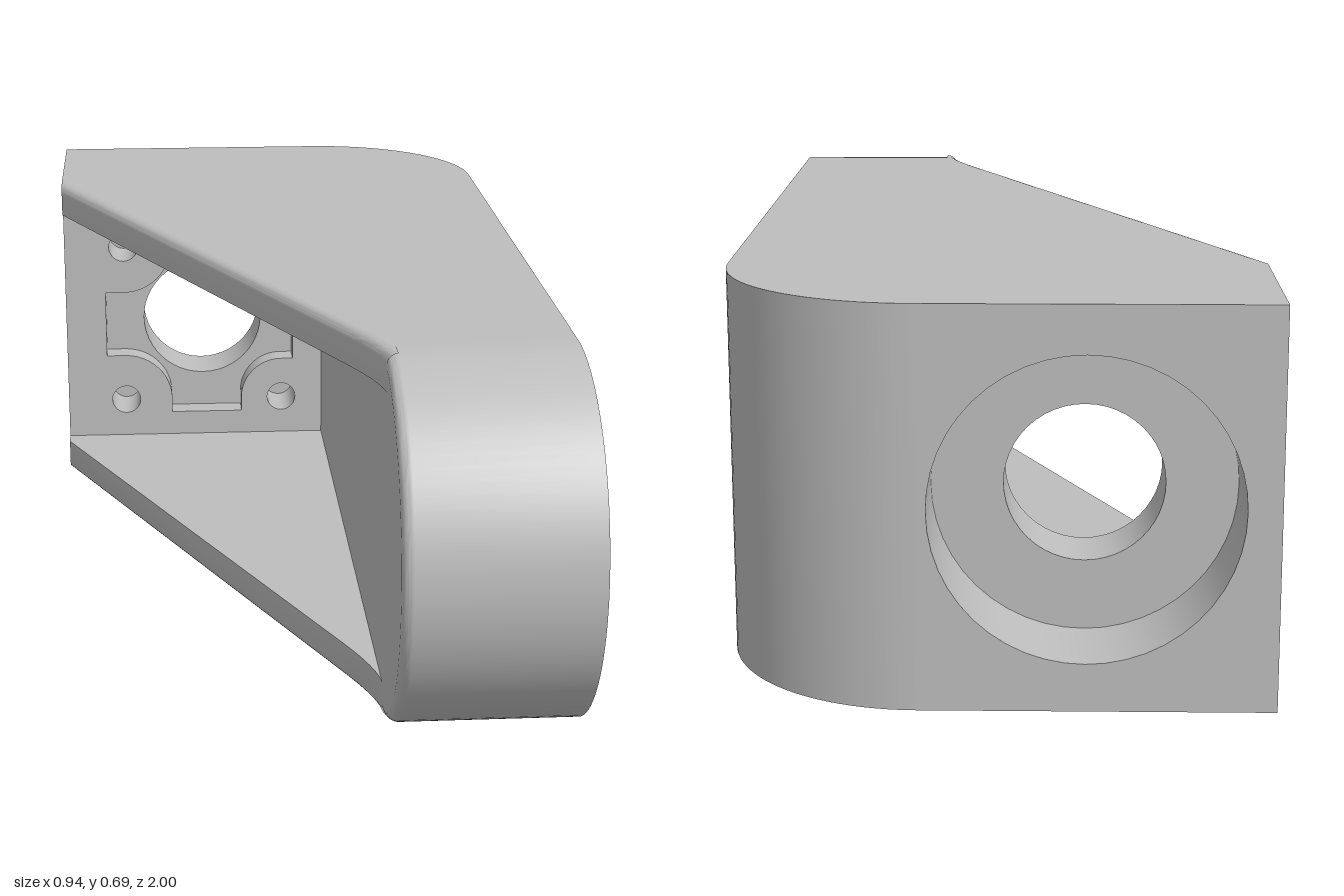
import * as THREE from 'three';
import { toCreasedNormals } from 'three/addons/utils/BufferGeometryUtils.js';

const H = 0.685, MID = H / 2, WEB = 0.07, F = 0.02; // height, centre line, web thickness, fillet
const LEFT = -0.47, ARM = 0.125, RIGHT = 0.465;     // x of outer side, arm inner wall, arm outer wall
const POCKET = -0.65, END = 0.658;                  // z of motor face, centre of rounded arm end

const v2 = (x, y) => new THREE.Vector2(x, y);
const arc = (cx, cy, r, a0, a1, n = 24) => Array.from({ length: n + 1 }, (_, i) => {
  const a = THREE.MathUtils.degToRad(a0 + (a1 - a0) * i / n);
  return v2(cx + r * Math.cos(a), cy + r * Math.sin(a));
});
const circle = (cx, cy, r, n = 48) => arc(cx, cy, r, 0, 360, n).slice(0, -1);
const rect = (x0, y0, x1, y1) => [v2(x0, y0), v2(x1, y0), v2(x1, y1), v2(x0, y1)];

// planes: map 2D contour points into space
const onX = x => p => new THREE.Vector3(x, p.y, p.x); // contour in (z, y)
const onY = y => p => new THREE.Vector3(p.x, y, p.y); // contour in (x, z)
const onZ = z => p => new THREE.Vector3(p.x, p.y, z); // contour in (x, y)

export function createModel() {
  const group = new THREE.Group();
  const grey = new THREE.MeshStandardMaterial({ color: 0xbebebe, side: THREE.DoubleSide });
  grey.name = 'grey plastic';
  const add = (name, geo) => {
    const mesh = new THREE.Mesh(geo, grey);
    mesh.name = name;
    group.add(mesh);
  };

  // flat face with optional openings
  const face = (name, plane, contour, holes = []) => {
    const shape = new THREE.Shape(contour);
    shape.holes = holes.map(h => new THREE.Path(h));
    const geo = new THREE.ShapeGeometry(shape);
    const pos = geo.attributes.position;
    for (let i = 0; i < pos.count; i++) {
      const p = plane(v2(pos.getX(i), pos.getY(i)));
      pos.setXYZ(i, p.x, p.y, p.z);
    }
    geo.computeVertexNormals();
    add(name, geo);
  };

  // surface through rows of points
  const loft = (name, rows, closed = false) => {
    const n = rows[0].length, index = [];
    for (let r = 0; r < rows.length - 1; r++) {
      for (let i = 0; i < (closed ? n : n - 1); i++) {
        const j = (i + 1) % n, a = r * n + i, b = r * n + j;
        index.push(a, b, b + n, a, b + n, a + n);
      }
    }
    const geo = new THREE.BufferGeometry().setFromPoints(rows.flat());
    geo.setIndex(index);
    add(name, toCreasedNormals(geo, 0.5));
  };
  const wall = (name, contour, planeA, planeB, closed = true) =>
    loft(name, [contour.map(planeA), contour.map(planeB)], closed);

  // slanted web edge, blending into the arm
  const edge = [v2(LEFT, -0.61), ...new THREE.QuadraticBezierCurve(
    v2(0.07, 0.55), v2(0.123, 0.664), v2(ARM, 0.72)).getPoints(10)];
  const inward = edge.map((p, i) => {
    if (i === 0) return v2(0, -2.37);
    const t = edge[Math.min(i + 1, edge.length - 1)].clone().sub(edge[i - 1]).normalize();
    return v2(t.y, -t.x);
  });
  const inset = d => edge.map((p, i) => p.clone().addScaledVector(inward[i], d));

  // top and bottom: plate, inner web face and rounded web edge
  const corner = arc(ARM, -0.66, 0.34, -90, 0);
  const plate = [v2(LEFT, -1), ...corner, v2(RIGHT, END), v2(ARM + F, END), ...inset(F).reverse()];
  const web = [v2(LEFT, POCKET), v2(ARM, POCKET), ...edge.slice().reverse()];
  for (const [side, Y] of [['top', y => H - y], ['bottom', y => y]]) {
    face(side + 'Plate', onY(Y(0)), plate);
    face(side + 'WebInside', onY(Y(WEB)), web);
    const rows = [edge.map(onY(Y(WEB)))];
    for (let k = 0; k <= 6; k++) {
      const a = k / 6 * Math.PI / 2;
      rows.push(inset(F * (1 - Math.cos(a))).map(onY(Y(F * (1 - Math.sin(a))))));
    }
    loft(side + 'WebEdge', rows);
  }

  // rounded back corner of the body
  wall('backCorner', corner, onY(0), onY(H), false);

  // outer side of the motor block, with the webs' rounded corners
  const notch = Array.from({ length: 7 }, (_, k) => {
    const a = k / 6 * Math.PI / 2;
    return v2(-0.61 - 2.37 * F * (1 - Math.sin(a)), F * (1 - Math.cos(a)));
  });
  const sideLow = [v2(-1, 0), ...notch, v2(-0.61, WEB), v2(POCKET, WEB)];
  face('blockSide', onX(LEFT), [...sideLow, ...sideLow.map(p => v2(p.x, H - p.y)).reverse()]);

  // motor block: stepped bore
  const CX = -0.153;
  const bore = circle(CX, MID, 0.137), counterbore = circle(CX, MID, 0.26);
  face('blockBack', onZ(-1), rect(LEFT, 0, ARM, H), [counterbore]);
  wall('counterboreWall', counterbore, onZ(-1), onZ(-0.83));
  face('counterboreFloor', onZ(-0.83), counterbore, [bore]);
  wall('boreWall', bore, onZ(-0.83), onZ(-0.705));

  // cross-shaped recess around the screw bosses
  const SL = -0.335, SR = 0.03, SY = 0.527;
  const crossTop = [
    v2(0.057, 0.433), ...arc(SR, SY, 0.094, 270, 180, 12), v2(-0.064, 0.56),
    v2(-0.227, 0.56), ...arc(SL, SY, 0.108, 0, -90, 12), v2(-0.378, 0.419),
  ];
  const cross = [...crossTop, ...crossTop.map(p => v2(p.x, H - p.y)).reverse()];
  const screws = [SL, SR].flatMap(x => [SY, H - SY].map(y => circle(x, y, 0.033, 24)));
  face('motorFace', onZ(POCKET), rect(LEFT, WEB, ARM, H - WEB), [cross, ...screws]);
  wall('recessWall', cross, onZ(POCKET), onZ(-0.705));
  face('recessFloor', onZ(-0.705), cross, [bore]);
  for (const s of screws) {
    wall('screwHoleWall', s, onZ(POCKET), onZ(-0.77));
    face('screwHoleEnd', onZ(-0.77), s);
  }

  // arm: inner wall, rounded end with filleted inner rim, outer wall
  const endArc = r => arc(END, MID, r, -90, 90, 48);
  face('armInside', onX(ARM),
    [v2(POCKET, WEB), v2(END, WEB), ...endArc(MID - F), v2(END, H - WEB), v2(POCKET, H - WEB)]);
  const rim = [];
  for (let k = 0; k <= 6; k++) {
    const a = k / 6 * Math.PI / 2;
    rim.push(endArc(MID - F * (1 - Math.sin(a))).map(onX(ARM + F * (1 - Math.cos(a)))));
  }
  loft('armEnd', [...rim, endArc(MID).map(onX(RIGHT))]);

  // D-shaped shaft socket
  const socket = arc(0.66, MID, 0.063, -147, 147, 36);
  face('armOutside', onX(RIGHT), [v2(-0.66, 0), ...endArc(MID), v2(-0.66, H)], [socket]);
  wall('socketWall', socket, onX(RIGHT), onX(0.265));
  face('socketEnd', onX(0.265), socket);

  return group;
}
